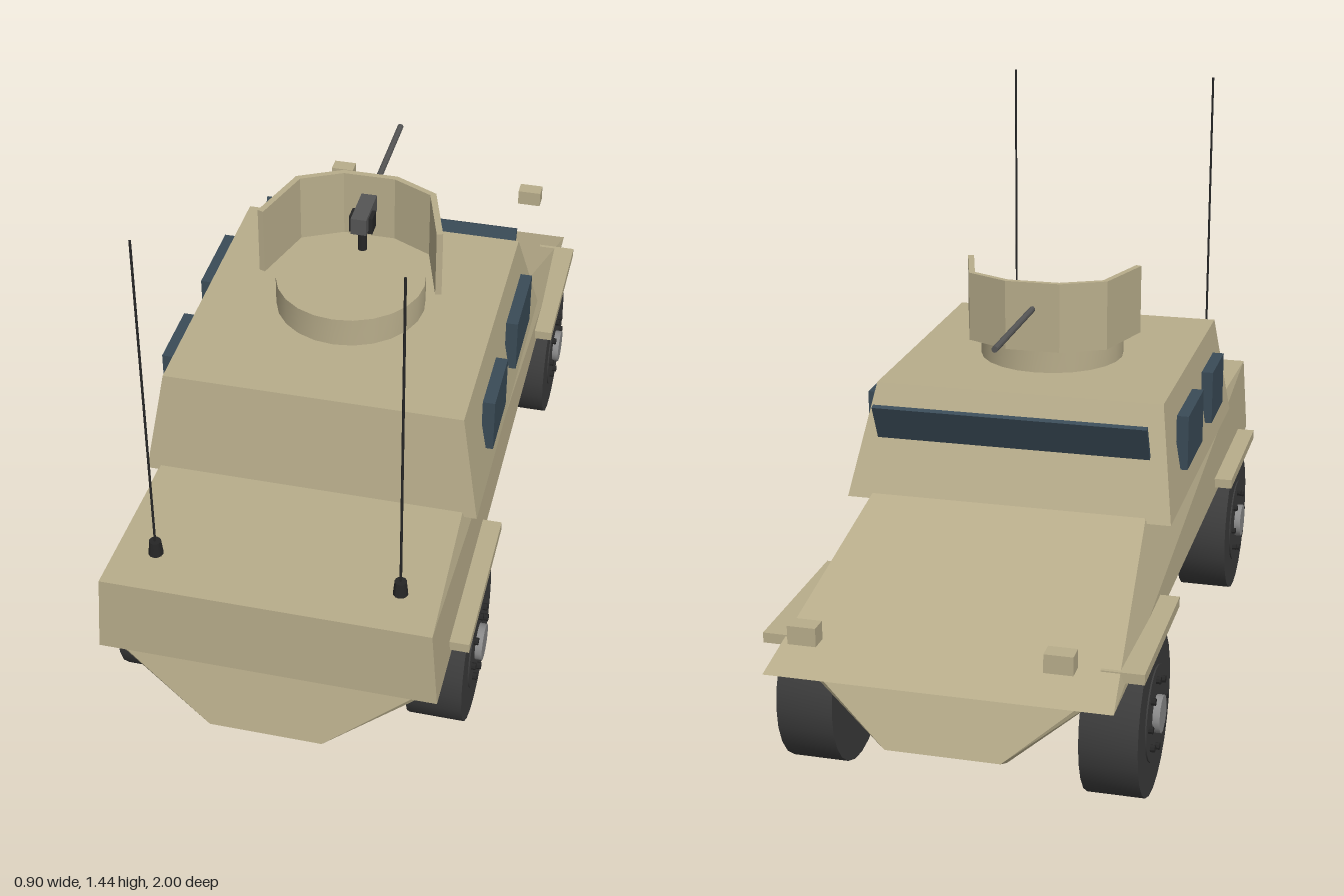
import * as THREE from 'three';
import { ConvexGeometry } from 'three/addons/geometries/ConvexGeometry.js';
import { toCreasedNormals } from 'three/addons/utils/BufferGeometryUtils.js';

const mat = (color) => new THREE.MeshStandardMaterial({ color });
const TAN = mat(0xb8ad8b), RUBBER = mat(0x3c3c3c), DARK = mat(0x262626);
const GLASS = mat(0x3a4b57), STEEL = mat(0x8a8a8a), GUN = mat(0x555555);

export function createModel() {
  const model = new THREE.Group();

  const add = (name, geometry, material, x = 0, y = 0, z = 0, parent = model) => {
    const mesh = new THREE.Mesh(geometry, material);
    mesh.name = name;
    mesh.position.set(x, y, z);
    parent.add(mesh);
    return mesh;
  };
  const box = (w, h, d) => new THREE.BoxGeometry(w, h, d);
  const drum = (r, h, sides = 24) =>
    toCreasedNormals(new THREE.CylinderGeometry(r, r, h, sides), 0.6);
  // convex plate body: each [x, y, z] corner is mirrored to -x
  const plated = (corners) => new ConvexGeometry(corners.flatMap(([x, y, z]) =>
    [new THREE.Vector3(x, y, z), new THREE.Vector3(-x, y, z)]));

  // upper hull: flat rear deck and long sloping nose
  add('upperHull', plated([
    [0.403, 0.357, 0.98], [0.388, 0.565, 0.98],
    [0.347, 0.565, -0.34], [0.403, 0.357, -0.96],
  ]), TAN);

  // V-shaped lower hull with small chamfers at both ends
  add('lowerHull', plated([
    [0.362, 0.362, 0.965], [0.136, 0.176, 1.0],
    [0.388, 0.362, 0.95], [0.147, 0.173, 0.985],
    [0.388, 0.362, -0.83], [0.147, 0.173, -0.895],
    [0.362, 0.362, -0.845], [0.136, 0.176, -0.91],
  ]), TAN);

  // cabin with sloping walls
  add('cabin', plated([
    [0.41, 0.553, 0.563], [0.365, 0.82, 0.53],
    [0.365, 0.82, -0.228], [0.41, 0.553, -0.345],
  ]), TAN);

  // windscreen leaning out from the cabin front
  add('windscreen', box(0.69, 0.1, 0.012), GLASS, 0, 0.745, -0.308).rotation.x = -0.44;

  for (const side of [1, -1]) {
    const label = side > 0 ? 'left' : 'right';

    // side windows
    add(label + 'RearWindow', box(0.03, 0.14, 0.18), GLASS, side * 0.4, 0.698, 0.3);
    add(label + 'FrontWindow', box(0.03, 0.14, 0.22), GLASS, side * 0.4, 0.698, -0.045);

    // wheels and the flat guards above them
    for (const [end, z] of [['Rear', 0.61], ['Front', -0.625]]) {
      const wheel = new THREE.Group();
      wheel.name = label + end + 'Wheel';
      wheel.position.set(side * 0.362, 0.197, z);
      wheel.rotation.z = -side * Math.PI / 2;
      model.add(wheel);
      add('tyre', drum(0.197, 0.137), RUBBER, 0, 0, 0, wheel);
      add('wheelDisc', drum(0.115, 0.01), RUBBER, 0, 0.067, 0, wheel);
      add('hub', drum(0.045, 0.03, 16), STEEL, 0, 0.074, 0, wheel);
      for (let i = 0; i < 8; i++) {
        const a = (i * Math.PI) / 4;
        add('bolt', drum(0.009, 0.02, 8), DARK,
          0.085 * Math.cos(a), 0.073, 0.085 * Math.sin(a), wheel);
      }
      add(label + end + 'Guard', box(0.1, 0.025, 0.43), TAN, side * 0.397, 0.388, z);
    }

    // headlamp
    add(label + 'Headlamp', box(0.066, 0.044, 0.043), TAN, side * 0.29, 0.482, -0.978);

    // whip antenna on the rear deck
    add(label + 'AntennaBase', toCreasedNormals(
      new THREE.CylinderGeometry(0.014, 0.018, 0.04, 12), 0.6), DARK, side * 0.29, 0.583, 0.86);
    add(label + 'Antenna', drum(0.003, 0.85, 8), DARK, side * 0.29, 1.013, 0.86);
  }

  // turret ring
  add('turretRing', drum(0.187, 0.08), TAN, 0, 0.855, 0.13);

  // gun shield: bent plate, open to the rear
  const outer = [[0.232, 0.142], [0.18, -0.03], [0.07, -0.086]];
  const inner = [[0.217, 0.147], [0.167, -0.02], [0.066, -0.071]];
  const outline = [
    ...outer, ...outer.slice().reverse().map(([x, z]) => [-x, z]),
    ...inner.map(([x, z]) => [-x, z]), ...inner.slice().reverse(),
  ].map(([x, z]) => new THREE.Vector2(x, z));
  add('gunShield', new THREE.ExtrudeGeometry(new THREE.Shape(outline),
    { depth: 0.178, bevelEnabled: false }), TAN, 0, 1.064, 0).rotation.x = Math.PI / 2;

  // machine gun
  add('gunMount', box(0.06, 0.045, 0.04), DARK, 0, 0.978, 0.005);
  add('gunPost', drum(0.012, 0.08, 12), DARK, 0, 0.925, 0.005);
  add('gunBody', box(0.04, 0.045, 0.12), GUN, 0, 0.988, -0.01);
  add('gunBarrel', drum(0.008, 0.38, 12), GUN, 0, 0.995, -0.25).rotation.x = Math.PI / 2;

  return model;
}
